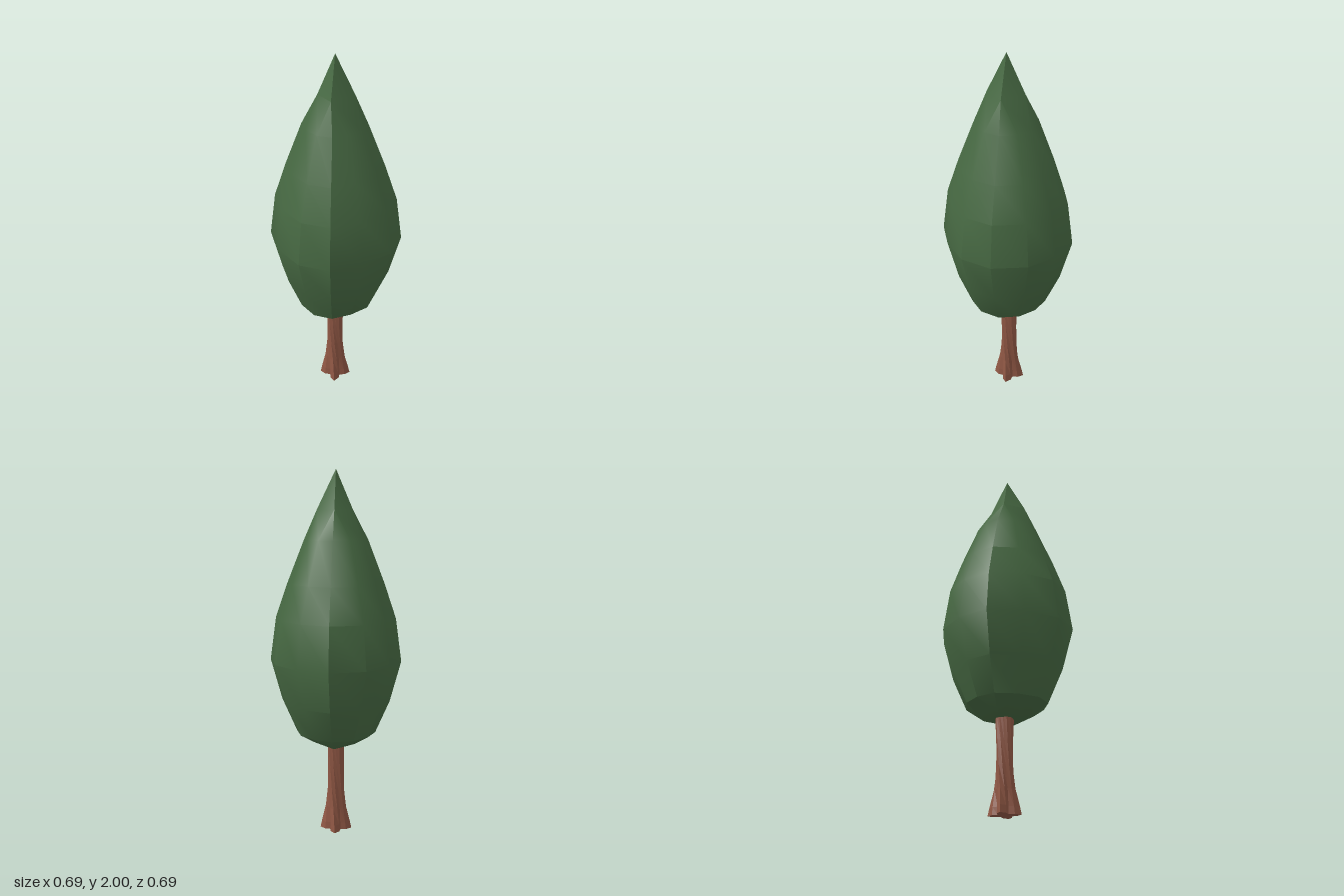
import * as THREE from 'three';
import { toCreasedNormals } from 'three/addons/utils/BufferGeometryUtils.js';

// Skins a stack of equal-length rings (bottom to top, clockwise from above), skipping collapsed faces.
function loft(rings) {
  const pos = [];
  const tri = (a, b, c) => {
    const area = b.clone().sub(a).cross(c.clone().sub(a)).length();
    if (area > 1e-7) for (const p of [a, b, c]) pos.push(p.x, p.y, p.z);
  };
  const n = rings[0].length;
  for (let k = 0; k < rings.length - 1; k++) {
    const lo = rings[k], hi = rings[k + 1];
    for (let i = 0; i < n; i++) {
      const j = (i + 1) % n;
      tri(lo[i], hi[i], hi[j]);
      tri(lo[i], hi[j], lo[j]);
    }
  }
  const geo = new THREE.BufferGeometry();
  geo.setAttribute('position', new THREE.Float32BufferAttribute(pos, 3));
  return geo;
}

const pointRing = (n, x, y, z) => Array.from({ length: n }, () => new THREE.Vector3(x, y, z));

// Foliage: slightly irregular twelve-sided body closing into four-sided ends
function createCrown() {
  const outline = [
    [-0.343, -0.09], [-0.25, -0.265], [-0.09, -0.34],
    [0.085, -0.348], [0.258, -0.26], [0.342, -0.1],
    [0.325, 0.09], [0.26, 0.26], [0.11, 0.345],
    [-0.09, 0.325], [-0.262, 0.24], [-0.338, 0.085],
  ];
  const n = outline.length;
  const body = (scale, y) => outline.map(([x, z]) => new THREE.Vector3(x * scale, y, z * scale));
  const square = (corners, y) => outline.map((_, i) => {
    const [x, z] = corners[Math.floor(i / 3)];
    return new THREE.Vector3(x, y, z);
  });

  const rings = [
    pointRing(n, 0, 0.5, 0),
    square([[-0.085, -0.09], [0.085, -0.09], [0.09, 0.06], [-0.085, 0.06]], 0.5),
    body(0.61, 0.57),
    body(0.83, 0.75),
    body(1, 0.975),
    body(0.91, 1.21),
    body(0.73, 1.4),
    body(0.48, 1.63),
    square([[-0.065, -0.07], [0.08, -0.07], [0.07, 0.085], [-0.057, 0.065]], 1.79),
    pointRing(n, 0.005, 2, 0),
  ];
  const mesh = new THREE.Mesh(
    toCreasedNormals(loft(rings), 0.62),
    new THREE.MeshStandardMaterial({ color: 0x466842 })
  );
  mesh.name = 'crown';
  return mesh;
}

// Trunk: twisted fluted column flaring into four diagonal roots
function createTrunk() {
  const n = 16;
  const section = ([y, radius, flute, twist]) => Array.from({ length: n }, (_, i) => {
    const a = (i / n) * Math.PI * 2;
    const r = radius - flute * Math.cos(4 * a);
    return new THREE.Vector3(-0.006 + r * Math.cos(a + twist), y, -0.01 + r * Math.sin(a + twist));
  });
  // height, mean radius, flute depth, twist
  const sections = [
    [0, 0.064, 0.024, 0],
    [0.04, 0.06, 0.02, 0.03],
    [0.13, 0.05, 0.009, 0.15],
    [0.25, 0.045, 0.005, 0.4],
    [0.38, 0.046, 0.004, 0.6],
    [0.54, 0.051, 0.003, 0.75],
  ];
  const rings = [
    pointRing(n, -0.006, 0, -0.01),
    ...sections.map(section),
    pointRing(n, -0.006, 0.54, -0.01),
  ];
  const geo = loft(rings);
  geo.computeVertexNormals();
  const mesh = new THREE.Mesh(
    geo,
    new THREE.MeshStandardMaterial({ color: 0x8f5744, flatShading: true })
  );
  mesh.name = 'trunk';
  return mesh;
}

export function createModel() {
  const tree = new THREE.Group();
  tree.name = 'tree';
  tree.add(createTrunk(), createCrown());
  return tree;
}
